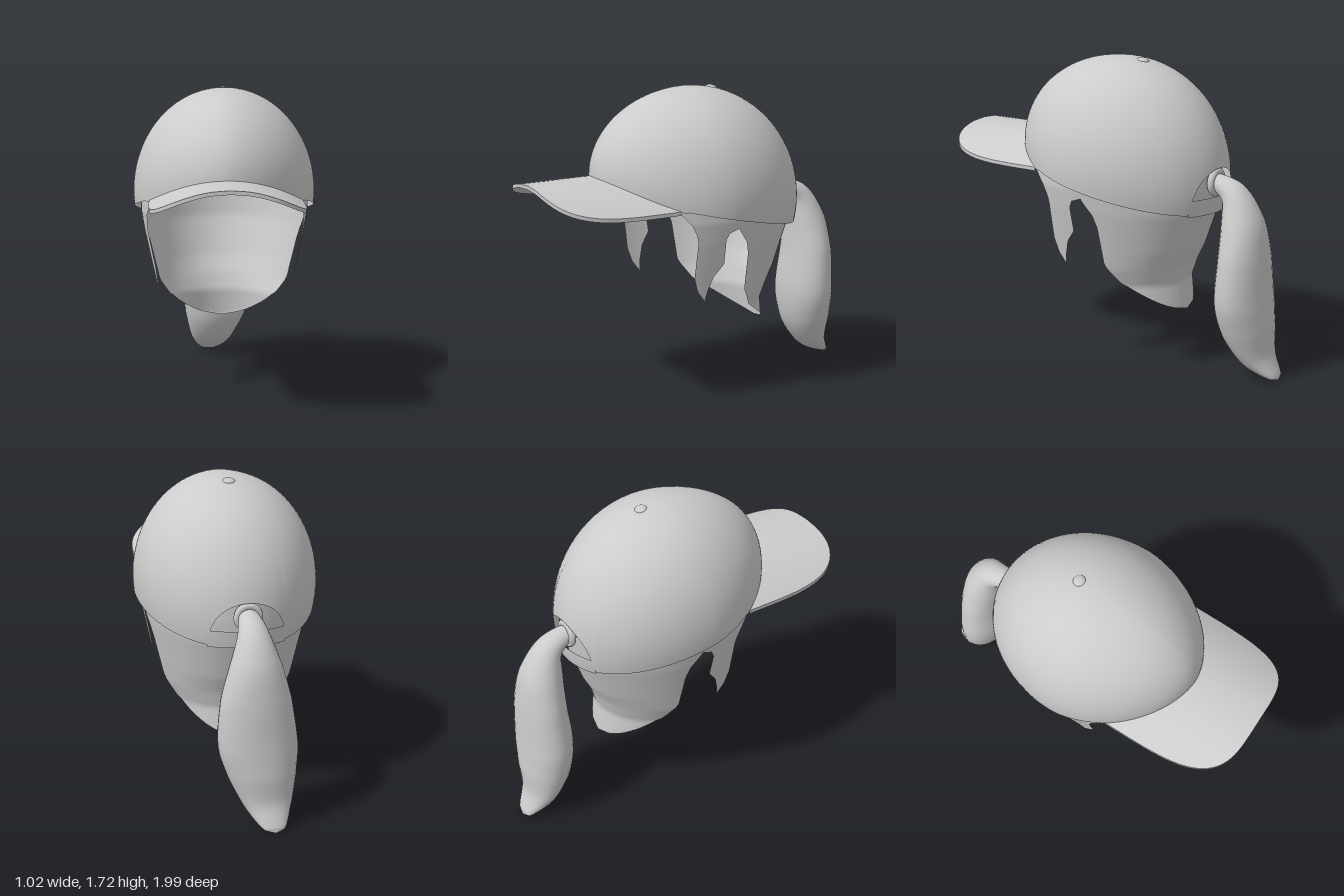
import * as THREE from 'three';
import { mergeVertices, toCreasedNormals } from 'three/addons/utils/BufferGeometryUtils.js';

const material = new THREE.MeshStandardMaterial({ color: 0xcccccc, side: THREE.DoubleSide });

// Surface from a rule: point(u, v) returns [x, y, z] for u, v in 0..1
function grid(nu, nv, point) {
  const pos = [], idx = [];
  for (let j = 0; j <= nv; j++)
    for (let i = 0; i <= nu; i++) pos.push(...point(i / nu, j / nv));
  for (let j = 0; j < nv; j++)
    for (let i = 0; i < nu; i++) {
      const a = j * (nu + 1) + i, b = a + 1, c = a + nu + 1, d = c + 1;
      idx.push(a, c, b, b, c, d);
    }
  let g = new THREE.BufferGeometry();
  g.setAttribute('position', new THREE.Float32BufferAttribute(pos, 3));
  g.setIndex(idx);
  g = mergeVertices(g, 1e-4);
  g.computeVertexNormals();
  return g;
}

// Linear lookup in rows [key, value, ...], keys descending
function look(rows, key, col = 1) {
  if (key >= rows[0][0]) return rows[0][col];
  for (let i = 1; i < rows.length; i++)
    if (key >= rows[i][0]) {
      const [p, q] = [rows[i - 1], rows[i]];
      return THREE.MathUtils.lerp(q[col], p[col], (key - q[0]) / (p[0] - q[0]));
    }
  return rows[rows.length - 1][col];
}

const signedPow = (v, p) => Math.sign(v) * Math.pow(Math.abs(v), p);
const TOP = 1.73;

// Cap plan outline; angle 0 is the front, PI the back
function outline(a) {
  const front = Math.cos(a) > 0;
  const e = front ? 2 / 1.8 : 1;
  return [0.51 * signedPow(Math.sin(a), e), (front ? 0.6 : 0.64) * signedPow(Math.cos(a), e)];
}
const brimY = (x) => 1.27 - 0.14 * (x / 0.42) ** 2;
const equator = (z) => 1.15 + (z > 0 ? 0.12 * (z / 0.6) ** 2 : -0.08 * (z / 0.64) ** 2);

// Point on the cap's ellipsoidal surface at angle a and height y
function capPoint(a, y, scale = 1) {
  const [x, z] = outline(a), e = equator(z);
  const r = scale * Math.sqrt(Math.max(0, 1 - ((y - e) / (TOP - e)) ** 2));
  return [x * r, y, z * r];
}

// Lower edge of the cap, with the arched opening at the back
function rimY(a) {
  const [x, z] = outline(a);
  if (z > 0.28) return brimY(x);
  if (z < 0 && Math.abs(x) < 0.2) return 1.0 + 0.17 * Math.sqrt(1 - (x / 0.2) ** 2);
  return 0.93 + 0.2 * (Math.max(z, -0.6) + 0.6) / 0.88;
}

// Hair surface: side and back radii by height
const hairSize = [
  [1.2, 0.47, 0.59], [1.05, 0.47, 0.59], [0.93, 0.45, 0.58], [0.7, 0.4, 0.5],
  [0.6, 0.38, 0.45], [0.5, 0.34, 0.42], [0.34, 0.33, 0.44],
];
function hairAngle(y, z) {
  const r = z > 0 ? 0.6 : look(hairSize, y, 2);
  return Math.acos(THREE.MathUtils.clamp(-z / r, -1, 1));
}
function hairPoint(y, t) {
  const back = Math.cos(t) > 0;
  return [look(hairSize, y, 1) * Math.sin(t), y, -Math.cos(t) * (back ? look(hairSize, y, 2) : 0.6)];
}

export function createModel() {
  const model = new THREE.Group();
  const add = (name, geometry) => {
    const mesh = new THREE.Mesh(geometry, material);
    mesh.name = name;
    model.add(mesh);
    return mesh;
  };

  // Cap crown
  add('capCrown', grid(128, 28, (u, v) => {
    const a = u * Math.PI * 2, [x, z] = outline(a), e = equator(z);
    const end = Math.acos((rimY(a) - e) / (TOP - e)), t = v * end;
    return [x * Math.sin(t), e + (TOP - e) * Math.cos(t), z * Math.sin(t)];
  }));

  // Strap below the rear opening
  add('rearStrap', grid(16, 3, (u, v) =>
    capPoint(Math.PI + (u - 0.5) * 0.88, 0.925 + 0.095 * v, 1.005)));

  // Brim: arched sheet with top, outer edge and underside
  const brim = grid(64, 17, (u, v) => {
    const a = (u - 0.5) * Math.PI, row = Math.round(v * 17);
    const under = row > 8, f = (under ? 17 - row : row) / 8;
    const xi = 0.42 * Math.sin(a);
    const zi = 0.6 * Math.pow(1 - Math.abs(xi / 0.51) ** 1.8, 1 / 1.8) - 0.01;
    const xo = 0.42 * signedPow(Math.sin(a), 0.5);
    const zo = 0.3 + 0.7 * Math.pow(Math.max(0, Math.cos(a)), 0.5);
    const x = THREE.MathUtils.lerp(xi, xo, f);
    return [x, brimY(x) + (under ? -0.018 : 0.003), THREE.MathUtils.lerp(zi, zo, f)];
  });
  add('brim', toCreasedNormals(brim, 0.7));

  // Button on the crown
  const button = add('crownButton', new THREE.SphereGeometry(0.035, 20, 12));
  button.scale.y = 0.5;
  button.position.set(0, 1.71, -0.135);
  button.rotation.x = -0.2;

  // Hair hanging at the back: [height, z of the front edge]
  const backEdge = [
    [1.2, -0.03], [1.0, -0.04], [0.92, -0.1], [0.85, -0.12], [0.63, -0.13],
    [0.52, -0.2], [0.42, -0.34], [0.36, -0.42], [0.34, -0.44],
  ];
  add('backHair', grid(40, 43, (u, v) => {
    const y = 1.2 - 0.86 * v;
    return hairPoint(y, (u * 2 - 1) * hairAngle(y, look(backEdge, y)));
  }));

  // Side locks: [height, front z, rear z]
  const lock = [
    [1.15, 0.33, -0.08], [1.05, 0.24, -0.08], [1.01, 0.22, -0.05], [0.99, 0.21, 0.02],
    [0.95, 0.2, 0.04], [0.81, 0.2, 0.035], [0.74, 0.2, 0.09], [0.66, 0.175, 0.115], [0.6, 0.13, 0.125],
  ];
  for (const [side, name] of [[1, 'leftSideLock'], [-1, 'rightSideLock']]) {
    add(name, grid(8, 44, (u, v) => {
      const y = 1.15 - 0.55 * v;
      const z = THREE.MathUtils.lerp(look(lock, y, 1), look(lock, y, 2), u);
      const p = hairPoint(y, hairAngle(y, z));
      return [p[0] * side, p[1], p[2]];
    }));
  }

  // Ponytail: [x, y, z, half width, half depth] along its length
  const tail = [
    [0, 1.09, -0.57, 0.05, 0.045], [0, 1.085, -0.64, 0.06, 0.05], [0, 1.03, -0.73, 0.085, 0.075],
    [0, 0.88, -0.785, 0.14, 0.115], [0, 0.7, -0.8, 0.19, 0.13], [-0.012, 0.45, -0.797, 0.215, 0.145],
    [-0.03, 0.28, -0.82, 0.185, 0.135], [-0.05, 0.13, -0.875, 0.13, 0.085],
    [-0.065, 0.025, -0.975, 0.055, 0.02], [-0.068, 0.01, -0.99, 0.002, 0.002],
  ];
  const path = new THREE.CatmullRomCurve3(tail.map((p) => new THREE.Vector3(p[0], p[1], p[2])));
  const size = new THREE.CatmullRomCurve3(tail.map((p) => new THREE.Vector3(p[3], p[4], 0)));
  add('ponytail', grid(28, 54, (u, v) => {
    const c = path.getPoint(v), s = size.getPoint(v), t = path.getTangent(v);
    const len = Math.hypot(t.y, t.z) || 1, a = u * Math.PI * 2;
    const w = s.x * Math.cos(a), d = s.y * Math.sin(a);
    return [c.x + w, c.y + d * -t.z / len, c.z + d * t.y / len];
  }));

  // Hair tie
  const tie = add('hairTie', new THREE.TorusGeometry(0.06, 0.02, 12, 32));
  tie.position.set(0, 1.09, -0.615);

  return model;
}
